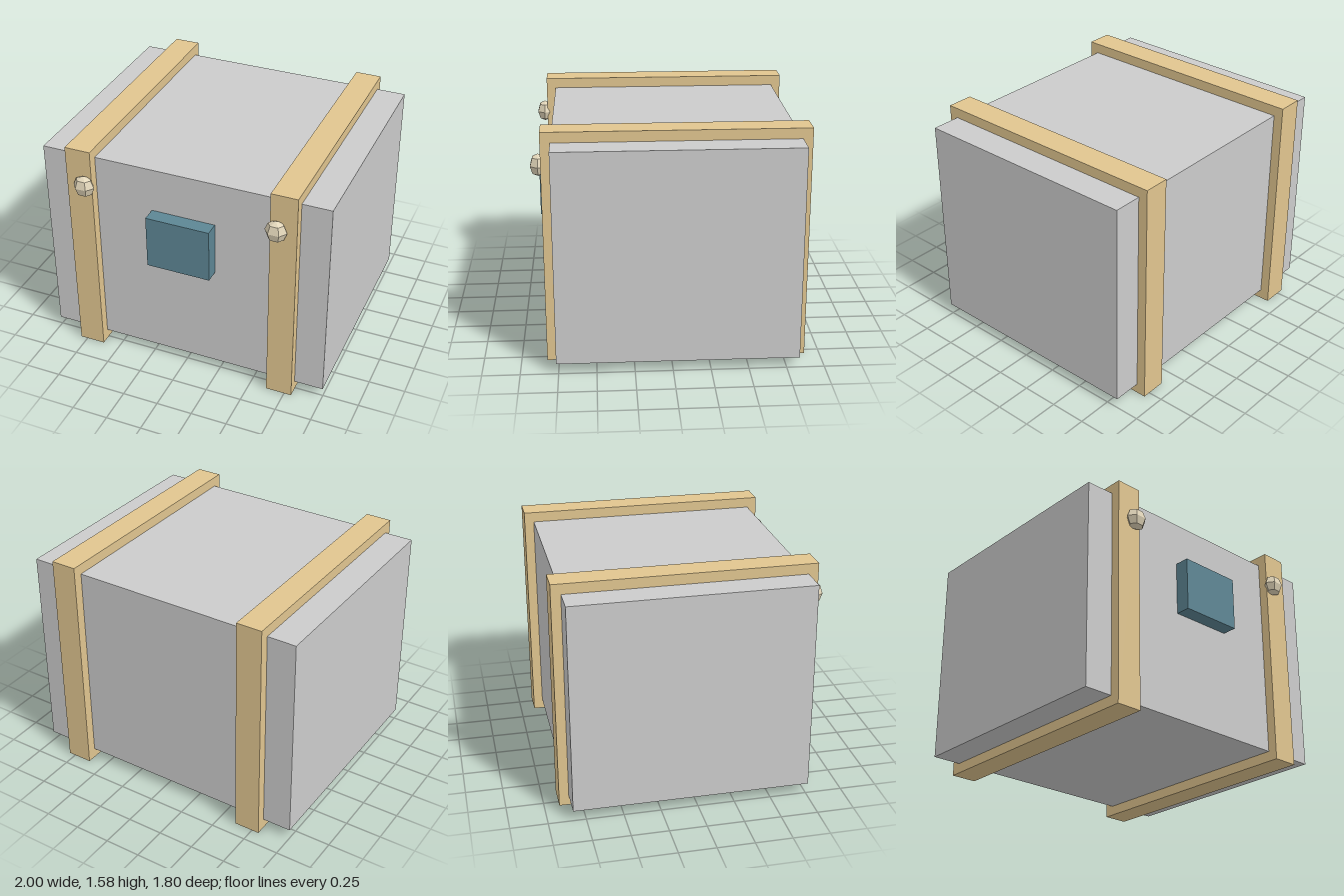
import * as THREE from 'three';

const material = (color) => new THREE.MeshStandardMaterial({ color, flatShading: true });

export function createModel() {
  const crate = new THREE.Group();
  crate.name = 'crate';
  const grey = material(0xcccccc);
  const tan = material(0xe0c58f);
  const teal = material(0x5d8694);
  const pale = material(0xe0d4b8);

  const add = (name, geometry, mat, x, y, z) => {
    const mesh = new THREE.Mesh(geometry, mat);
    mesh.name = name;
    mesh.position.set(x, y, z);
    crate.add(mesh);
    return mesh;
  };

  // Main box, set slightly back from centre
  add('body', new THREE.BoxGeometry(2, 1.44, 1.6), grey, 0, 0.79, -0.035);

  // Rectangular band wrapped round the box, drawn in the side plane
  const rectangle = (Type, w, h) => new Type([
    new THREE.Vector2(-w / 2, -h / 2), new THREE.Vector2(w / 2, -h / 2),
    new THREE.Vector2(w / 2, h / 2), new THREE.Vector2(-w / 2, h / 2),
  ]);
  const bandWidth = 0.18;
  const band = rectangle(THREE.Shape, 1.73, 1.58);
  band.holes.push(rectangle(THREE.Path, 1.58, 1.42));
  const bandGeometry = new THREE.ExtrudeGeometry(band, { depth: bandWidth, bevelEnabled: false });
  bandGeometry.translate(0, 0, -bandWidth / 2);
  bandGeometry.rotateY(Math.PI / 2);

  // Faceted, flattened stud
  const studGeometry = new THREE.SphereGeometry(0.075, 6, 4);
  studGeometry.scale(1, 1, 0.77);

  for (const [side, sign] of [['left', 1], ['right', -1]]) {
    add(side + 'Band', bandGeometry, tan, sign * 0.71, 0.79, -0.035);
    add(side + 'Stud', studGeometry, pale, sign * 0.667, 1.327, 0.85);
  }

  // Latch plate on the front
  add('latch', new THREE.BoxGeometry(0.444, 0.374, 0.13), teal, 0, 1.014, 0.8);

  return crate;
}
